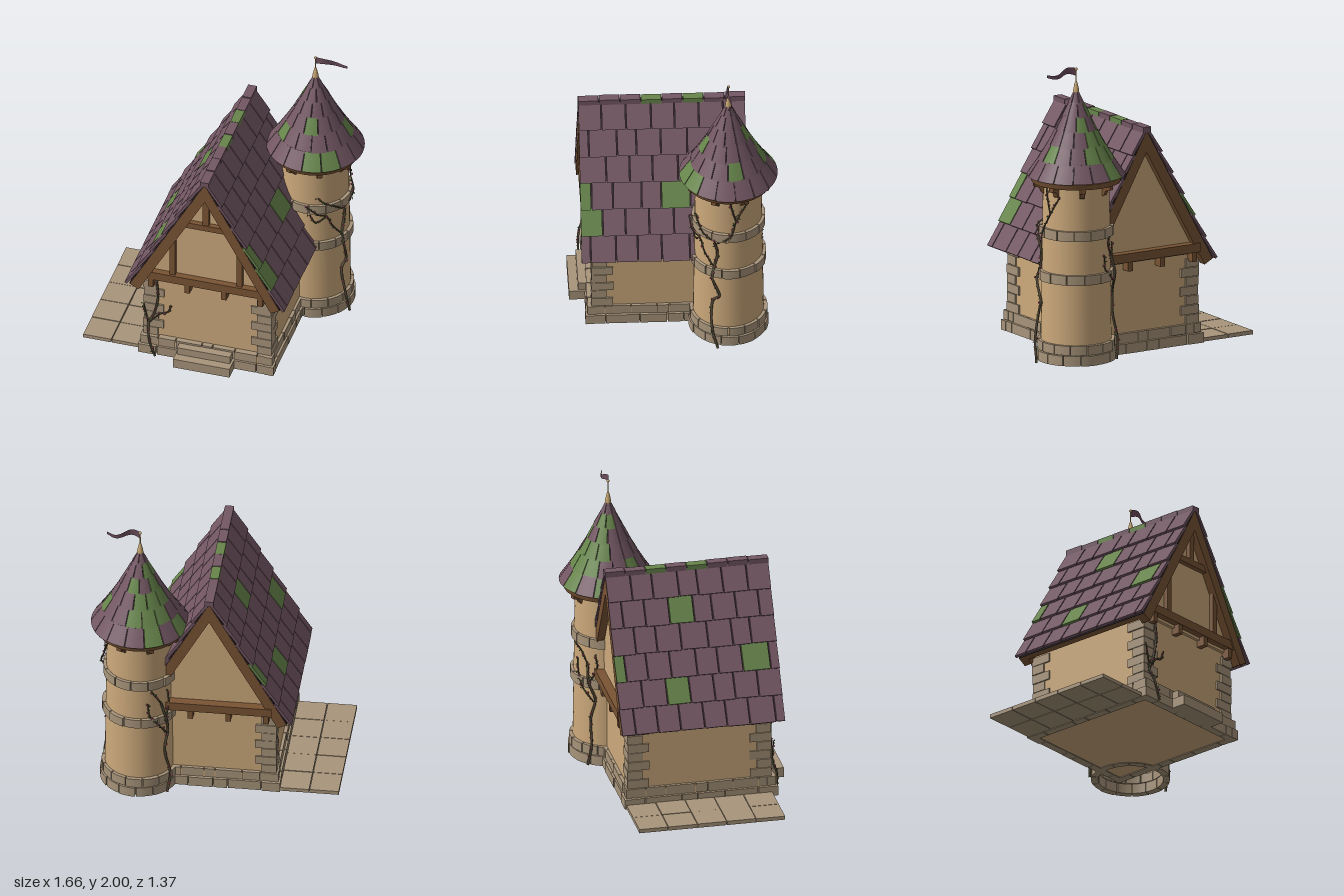
import * as THREE from 'three';
import { toCreasedNormals } from 'three/addons/utils/BufferGeometryUtils.js';

const mat = (name, color, side = THREE.FrontSide) => {
  const m = new THREE.MeshStandardMaterial({ color, side });
  m.name = name;
  return m;
};

export function createModel() {
  const plaster = mat('plaster', 0xcdaa7c, THREE.DoubleSide), stone = mat('stone', 0xa8957b);
  const wood = mat('wood', 0x7a5434), slate = mat('purple slate', 0x735763);
  const moss = mat('mossy slate', 0x67854b), gap = mat('roof shadow gap', 0x35272d);
  const bark = mat('vine stem', 0x554a38), leafMat = mat('leaf', 0x55733f);
  const petal = mat('rose', 0xb84c66), gold = mat('pale gold', 0xc9a873);
  const cloth = mat('flag cloth', 0x6b4c59, THREE.DoubleSide);

  let seed = 7;
  const rnd = () => (seed = (seed * 16807) % 2147483647) / 2147483647;
  const model = new THREE.Group();
  model.name = 'cottage with tower';
  const section = (name) => {
    const g = new THREE.Group();
    g.name = name;
    model.add(g);
    return g;
  };
  const add = (parent, name, geo, material) => {
    const m = new THREE.Mesh(geo, material);
    m.name = name;
    parent.add(m);
    return m;
  };
  // Box given by its extents
  const block = (parent, name, material, x0, x1, y0, y1, z0, z1) => {
    const m = add(parent, name, new THREE.BoxGeometry(x1 - x0, y1 - y0, z1 - z0), material);
    m.position.set((x0 + x1) / 2, (y0 + y1) / 2, (z0 + z1) / 2);
    return m;
  };
  const extrude = (pts, z0, z1) => new THREE.ExtrudeGeometry(
    new THREE.Shape(pts.map(([x, y]) => new THREE.Vector2(x, y))),
    { depth: z1 - z0, bevelEnabled: false }).translate(0, 0, z0);

  const CX = 0.026, RIDGE = 1.53, HW = 0.515, DROP = 0.93, LEN = Math.hypot(HW, DROP);
  const nx = DROP / LEN, ny = HW / LEN;

  // Stone plinth: two courses of blocks around a core
  const plinth = section('plinth');
  block(plinth, 'floor', plaster, -0.42, 0.47, 0.035, 0.15, -0.43, 0.565);
  [[0.03, 0.097, 0.012], [0.102, 0.165, 0]].forEach(([y0, y1, o], row) => {
    const x0 = -0.43 - o, x1 = 0.48 + o, z0 = -0.44 - o, z1 = 0.575 + o;
    const run = (a, b, place) => {
      const n = 6 + row;
      for (let i = 0; i < n; i++) {
        const at = (k) => (k === 0 || k === n ? k / n : (k + 0.25 * Math.sin(k * 4 + row * 2)) / n);
        const j = rnd() * 0.006;
        place(a + (b - a) * at(i) + (i ? 0.003 : 0), a + (b - a) * at(i + 1) - (i < n - 1 ? 0.003 : 0), j);
      }
    };
    run(x0, x1, (a, b, j) => {
      block(plinth, 'plinthStone', stone, a, b, y0, y1, z1 - 0.06, z1 - j);
      block(plinth, 'plinthStone', stone, a, b, y0, y1, z0 + j, z0 + 0.06);
    });
    run(z0, z1, (a, b, j) => {
      block(plinth, 'plinthStone', stone, x0 + j, x0 + 0.06, y0, y1, a, b);
      block(plinth, 'plinthStone', stone, x1 - 0.06, x1 - j, y0, y1, a, b);
    });
  });
  block(plinth, 'lowerStep', stone, -0.17, 0.22, 0.03, 0.098, 0.55, 0.685);
  block(plinth, 'upperStep', stone, -0.16, 0.205, 0.098, 0.152, 0.55, 0.625);

  // Paved patio
  const patio = section('patio');
  for (let c = 0; c < 2; c++) for (let r = 0; r < 5; r++) {
    const x = -0.832 + c * 0.198, z = -0.44 + r * 0.198;
    block(patio, 'pavingSlab', stone, x, x + 0.193, 0.033, 0.057 + rnd() * 0.004, z, z + 0.194);
  }

  // House walls, gables and corner stones
  const house = section('house');
  block(house, 'walls', plaster, -0.405, 0.457, 0.1, 0.66, -0.415, 0.535);
  add(house, 'gables', extrude([[CX - 0.46, 0.64], [CX + 0.46, 0.64], [CX, 1.48]], -0.43, 0.555), plaster);
  [[-1, 1], [1, 1], [-1, -1]].forEach(([sx, sz]) => {
    for (let i = 0; i < 7; i++) {
      const w = i % 2 ? 0.14 : 0.1, d = i % 2 ? 0.1 : 0.145, y = 0.165 + i * 0.064, j = rnd() * 0.006;
      const cx = CX + sx * (0.445 - j), cz = 0.06 + sz * (0.49 - j);
      block(house, 'cornerStone', stone, Math.min(cx, cx - sx * w), Math.max(cx, cx - sx * w), y, y + 0.06,
        Math.min(cz, cz - sz * d), Math.max(cz, cz - sz * d));
    }
  });

  // Timber frame
  const frame = section('timberFrame');
  const chevron = (out, inn, z0, z1) => {
    const end = (o) => [HW + o * nx, RIDGE - DROP + o * ny];
    const [ox, oy] = end(out), [ix, iy] = end(-inn);
    return extrude([[CX, RIDGE + out / ny], [CX - ox, oy], [CX - ix, iy],
      [CX, RIDGE - inn / ny], [CX + ix, iy], [CX + ox, oy]], z0, z1);
  };
  add(frame, 'frontBargeboards', chevron(0, 0.068, 0.545, 0.61), wood);
  add(frame, 'backBargeboards', chevron(0, 0.068, -0.48, -0.42), wood);
  add(frame, 'roofBoards', chevron(0, 0.03, -0.43, 0.56), wood);
  block(frame, 'frontTieBeam', wood, -0.39, 0.445, 0.66, 0.72, 0.54, 0.6);
  block(frame, 'backTieBeam', wood, -0.39, 0.445, 0.66, 0.72, -0.49, -0.42);
  block(frame, 'collarBeam', wood, -0.15, 0.205, 1.135, 1.178, 0.55, 0.59);
  block(frame, 'kingPost', wood, 0.005, 0.047, 1.17, 1.44, 0.55, 0.585);
  [-0.205, 0.257].forEach((x) => block(frame, 'gablePost', wood, x - 0.02, x + 0.02, 0.71, 1.05, 0.55, 0.585));
  [-0.352, -0.1, 0.152, 0.404].forEach((x) => {
    [[0.53, 0.595], [-0.48, -0.41]].forEach(([a, b]) =>
      block(frame, 'beamBracket', wood, x - 0.018, x + 0.018, 0.595, 0.662, a, b));
  });

  // Main roof: six overlapping rows of slates on each slope
  const roof = section('mainRoof');
  add(roof, 'slateBacking', chevron(0.007, 0, -0.478, 0.608), gap);
  const mossy = { '1': [[-0.015], [], [0.29], [0.55, -0.06], [0.48], []],
    '-1': [[], [0.055], [], [-0.43, 0.53], [-0.11], []] };
  [1, -1].forEach((s) => {
    const slope = new THREE.Group();
    slope.name = s > 0 ? 'leftSlope' : 'rightSlope';
    slope.position.set(CX, RIDGE, 0);
    slope.rotation.set(0, s > 0 ? 0 : Math.PI, 0);
    const tilt = new THREE.Group();
    tilt.name = 'slates';
    tilt.rotation.z = -Math.atan2(DROP, HW);
    slope.add(tilt);
    roof.add(slope);
    const step = LEN / 6, n = 7, w = 1.11 / n;
    for (let row = 0; row < 6; row++) {
      const shift = row % 2 ? 0.5 : 0, cuts = [-0.49];
      for (let i = 1; i < n + (shift ? 1 : 0); i++) cuts.push(-0.49 + w * (i - shift + (rnd() - 0.5) * 0.25));
      cuts.push(0.62);
      for (let i = 0; i < cuts.length - 1; i++) {
        const a = cuts[i] + 0.004, b = cuts[i + 1] - 0.004;
        const green = mossy[s][row].some((z) => z > a && z < b);
        const t = add(tilt, green ? 'mossySlate' : 'slate',
          new THREE.BoxGeometry(step + 0.008 + rnd() * 0.01, 0.018, b - a), green ? moss : slate);
        t.position.set((row + 0.5) * step + 0.006, 0.02, s * (a + b) / 2);
        t.rotation.z = 0.085;
        t.rotation.y = (rnd() - 0.5) * 0.03;
      }
    }
  });
  for (let i = 0; i < 8; i++) {
    const z = -0.49 + i * 0.1388, green = i === 2 || i === 4;
    block(roof, 'ridgeTile', green ? moss : slate, -0.004, 0.056, 1.522, 1.556 + rnd() * 0.006, z + 0.002, z + 0.136);
  }

  // Round tower
  const tower = section('tower');
  tower.position.set(0.5, 0, -0.357);
  // Closed block bent round the tower axis, with its own radii at bottom and top
  const sector = (a0, a1, y0, y1, in0, out0, in1, out1) => {
    const g = new THREE.BoxGeometry(1, 1, 1, 4, 1, 1), p = g.attributes.position;
    for (let i = 0; i < p.count; i++) {
      const a = a0 + (p.getX(i) + 0.5) * (a1 - a0), top = p.getY(i) > 0, outer = p.getZ(i) > 0;
      const r = top ? (outer ? out1 : in1) : (outer ? out0 : in0);
      p.setXYZ(i, r * Math.sin(a), top ? y1 : y0, r * Math.cos(a));
    }
    return toCreasedNormals(g, 0.5);
  };
  add(tower, 'towerWall', new THREE.CylinderGeometry(0.22, 0.236, 1.22, 48, 1, true).translate(0, 0.64, 0), plaster);
  [[0.03, 0.098, 0.266, 14], [0.102, 0.165, 0.26, 14], [0.575, 0.64, 0.254, 13], [0.872, 0.938, 0.25, 13]]
    .forEach(([y0, y1, r, n], k) => {
      for (let i = 0; i < n; i++) {
        const a = (i + k * 0.4) * Math.PI * 2 / n, o = r - rnd() * 0.007;
        add(tower, 'towerStone', sector(a + 0.012, a + Math.PI * 2 / n - 0.012, y0, y1, 0.215, o, 0.215, o), stone);
      }
    });
  add(tower, 'eaveRing', toCreasedNormals(new THREE.LatheGeometry([[0.2, 1.235], [0.295, 1.235], [0.305, 1.272],
    [0.2, 1.272], [0.2, 1.235]].map(([x, y]) => new THREE.Vector2(x, y)), 48), 0.5), wood);
  const bracketGeo = extrude([[0.2, 1.24], [0.2, 1.15], [0.235, 1.165], [0.25, 1.2], [0.285, 1.205], [0.285, 1.24]],
    -0.017, 0.017);
  for (let i = 0; i < 8; i++) {
    add(tower, 'eaveBracket', bracketGeo, wood).rotation.y = Math.PI / 8 + i * Math.PI / 4;
  }

  // Flared conical roof in six tiers
  const ys = [1.282, 1.388, 1.49, 1.59, 1.682, 1.77, 1.845], rs = [0.326, 0.255, 0.194, 0.14, 0.096, 0.052, 0.018];
  const counts = [15, 14, 12, 10, 8, 6];
  const greens = [[0.2, 0.6, -1.8, -2.9], [1.55, -1.1, -2.3, -2.75, 3.1], [0.25, -1.9, -2.35, -2.9],
    [2.6, -2.2, 3.1], [-1.6, -2.4], []];
  add(tower, 'coneBacking', toCreasedNormals(new THREE.LatheGeometry([new THREE.Vector2(0.2, 1.27),
    ...rs.map((r, i) => new THREE.Vector2(r - 0.014, ys[i]))], 40), 0.3), gap);
  counts.forEach((n, t) => {
    const d = Math.PI * 2 / n, off = t === 0 ? 0 : t * 0.37 * d;
    for (let i = 0; i < n; i++) {
      const a = i * d + off, turn = Math.PI * 2;
      const green = greens[t].some((g) => (((g - a) % turn) + turn) % turn < d);
      const drop = rnd() * 0.007;
      const e = 0.003 / rs[t];
      add(tower, green ? 'mossyConeSlate' : 'coneSlate', sector(a + e, a + d - e, ys[t] - drop, ys[t + 1] + 0.004,
        rs[t] - 0.02, rs[t], rs[t + 1] - 0.024, rs[t + 1] - 0.005), green ? moss : slate);
    }
  });

  // Finial and flag
  add(tower, 'finial', new THREE.LatheGeometry([[0.021, 1.835], [0.02, 1.85], [0.011, 1.89], [0.009, 1.9], [0.004, 1.91],
    [0.003, 1.98]].map(([x, y]) => new THREE.Vector2(x, y)), 16), gold);
  add(tower, 'finialBall', new THREE.SphereGeometry(0.01, 12, 8).translate(0, 1.99, 0), gold);
  const flagGeo = new THREE.PlaneGeometry(1, 1, 20, 2), fp = flagGeo.attributes.position;
  for (let i = 0; i < fp.count; i++) {
    const u = fp.getX(i) + 0.5, v = fp.getY(i);
    fp.setXYZ(i, 0.003 + u * 0.22, 1.972 + 0.012 * Math.sin(u * 6.3) - 0.006 * u + v * (0.052 - 0.034 * u),
      0.014 * Math.sin(u * 7));
  }
  flagGeo.computeVertexNormals();
  add(tower, 'flag', flagGeo, cloth);

  // Climbing roses
  const vine = (parent, name, pts, radius) => {
    const curve = new THREE.CatmullRomCurve3(pts);
    add(parent, name, new THREE.TubeGeometry(curve, pts.length * 8, radius, 5), bark);
    const n = Math.round(curve.getLength() / 0.022);
    for (let i = 1; i <= n; i++) {
      const p = curve.getPoint(i / n), rose = i % 3 === 0;
      const m = add(parent, rose ? 'rose' : 'leaf', rose ? new THREE.IcosahedronGeometry(0.008, 0)
        : new THREE.OctahedronGeometry(0.009).scale(1, 0.5, 0.7), rose ? petal : leafMat);
      m.position.set(p.x + (rnd() - 0.5) * 0.022, p.y + (rnd() - 0.5) * 0.012, p.z + (rnd() - 0.5) * 0.022);
      m.rotation.set(rnd() * 3, rnd() * 3, rnd() * 3);
    }
  };
  const onTower = (list) => list.map(([a, y]) => {
    const r = y < 0.18 ? 0.272 : (y > 0.56 && y < 0.65) || (y > 0.86 && y < 0.95) ? 0.26 : 0.246 - y * 0.012;
    return new THREE.Vector3(r * Math.sin(a), y, r * Math.cos(a));
  });
  const climbers = section('climbingRoses');
  const towerVines = new THREE.Group();
  towerVines.name = 'towerRoses';
  towerVines.position.copy(tower.position);
  climbers.add(towerVines);
  [[[1.27, 0.01], [1.12, 0.17], [1.1, 0.38], [1.28, 0.42], [1.1, 0.58], [1.12, 0.65], [1.22, 0.78], [1.15, 0.88]],
    [[1.12, 0.65], [0.8, 0.75], [0.6, 0.84], [0.35, 0.88], [0.05, 0.94]],
    [[1.15, 0.86], [0.85, 0.92], [0.5, 0.96], [0.35, 1.0]], [[0.6, 0.84], [0.3, 0.8], [0.12, 0.86]],
    [[1.2, 0.85], [1.6, 0.94], [1.75, 1.04], [2.1, 1.17]], [[1.75, 1.04], [1.65, 1.12], [1.57, 1.21]],
    [[-2.3, 0.03], [-2.2, 0.17], [-2.28, 0.35], [-2.15, 0.5], [-2.3, 0.62], [-2.4, 0.74]],
    [[-2.2, 0.48], [-2.5, 0.58], [-2.75, 0.66], [-2.8, 0.76]], [[-2.3, 0.62], [-2.1, 0.72], [-2.15, 0.82]],
    [[-2.4, 0.74], [-2.6, 0.82], [-2.75, 0.88]]]
    .forEach((list, i) => vine(towerVines, 'vine', onTower(list), i % 6 === 0 ? 0.009 : 0.005));
  [[[-0.32, 0.03, 0.6], [-0.36, 0.15, 0.595], [-0.375, 0.26, 0.56], [-0.335, 0.36, 0.56], [-0.31, 0.5, 0.56],
    [-0.32, 0.62, 0.56]],
  [[-0.372, 0.27, 0.56], [-0.3, 0.35, 0.555], [-0.25, 0.37, 0.545], [-0.22, 0.43, 0.545]],
  [[-0.375, 0.24, 0.56], [-0.39, 0.33, 0.56], [-0.41, 0.42, 0.56]]]
    .forEach((list, i) => vine(climbers, 'vine', list.map((p) => new THREE.Vector3(...p)), i ? 0.005 : 0.008));
  return model;
}
